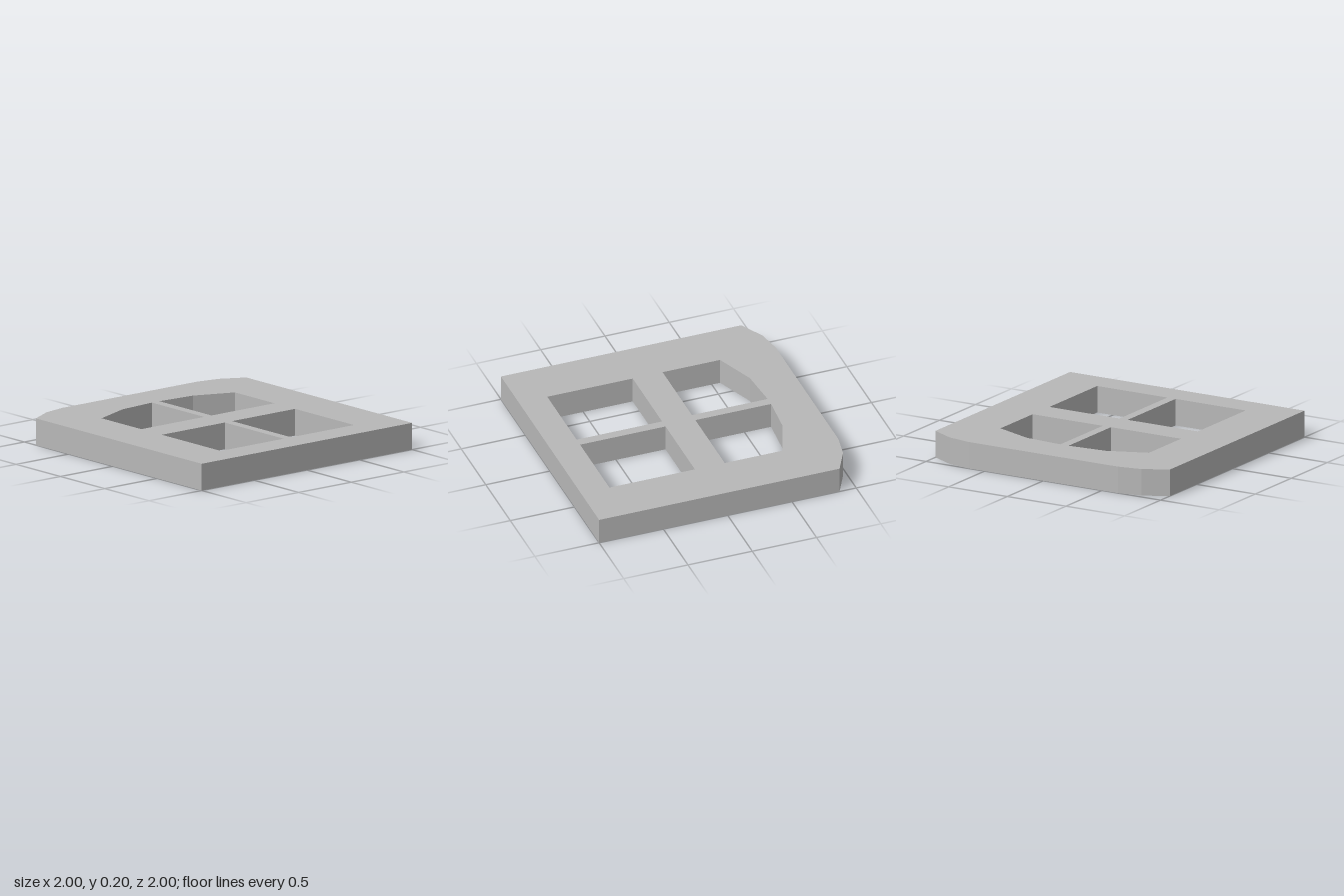
import * as THREE from 'three';

const THICKNESS = 0.2;

// Plan outlines are drawn with +y towards the back (-z)
const points = (list, side = 1) => list.map(([x, y]) => new THREE.Vector2(x * side, y));

export function createModel() {
  const model = new THREE.Group();
  model.name = 'archedWindow';
  const grey = new THREE.MeshStandardMaterial({ color: 0xb8b8b8 });
  grey.name = 'plain grey';

  // Outer outline: square at the front, faceted shoulders at the back
  const half = [[1, -1], [1, 0.87], [0.817, 0.967], [0.638, 1]];
  const outline = new THREE.Shape([
    ...points(half),
    ...points(half, -1).reverse(),
  ]);

  // Pane openings, mirrored about the centre bar
  const lowerPane = [[0.035, -0.78], [0.633, -0.78], [0.633, -0.115], [0.035, -0.115]];
  const upperPane = [[0.035, 0.117], [0.633, 0.117], [0.633, 0.564], [0.335, 0.682], [0.035, 0.706]];
  for (const side of [1, -1]) {
    for (const pane of [lowerPane, upperPane]) {
      outline.holes.push(new THREE.Path(points(pane, side)));
    }
  }

  // Frame and glazing bars are one flat slab lying on the ground
  const geometry = new THREE.ExtrudeGeometry(outline, { depth: THICKNESS, bevelEnabled: false });
  geometry.rotateX(-Math.PI / 2);
  const frame = new THREE.Mesh(geometry, grey);
  frame.name = 'windowFrame';
  model.add(frame);

  return model;
}
